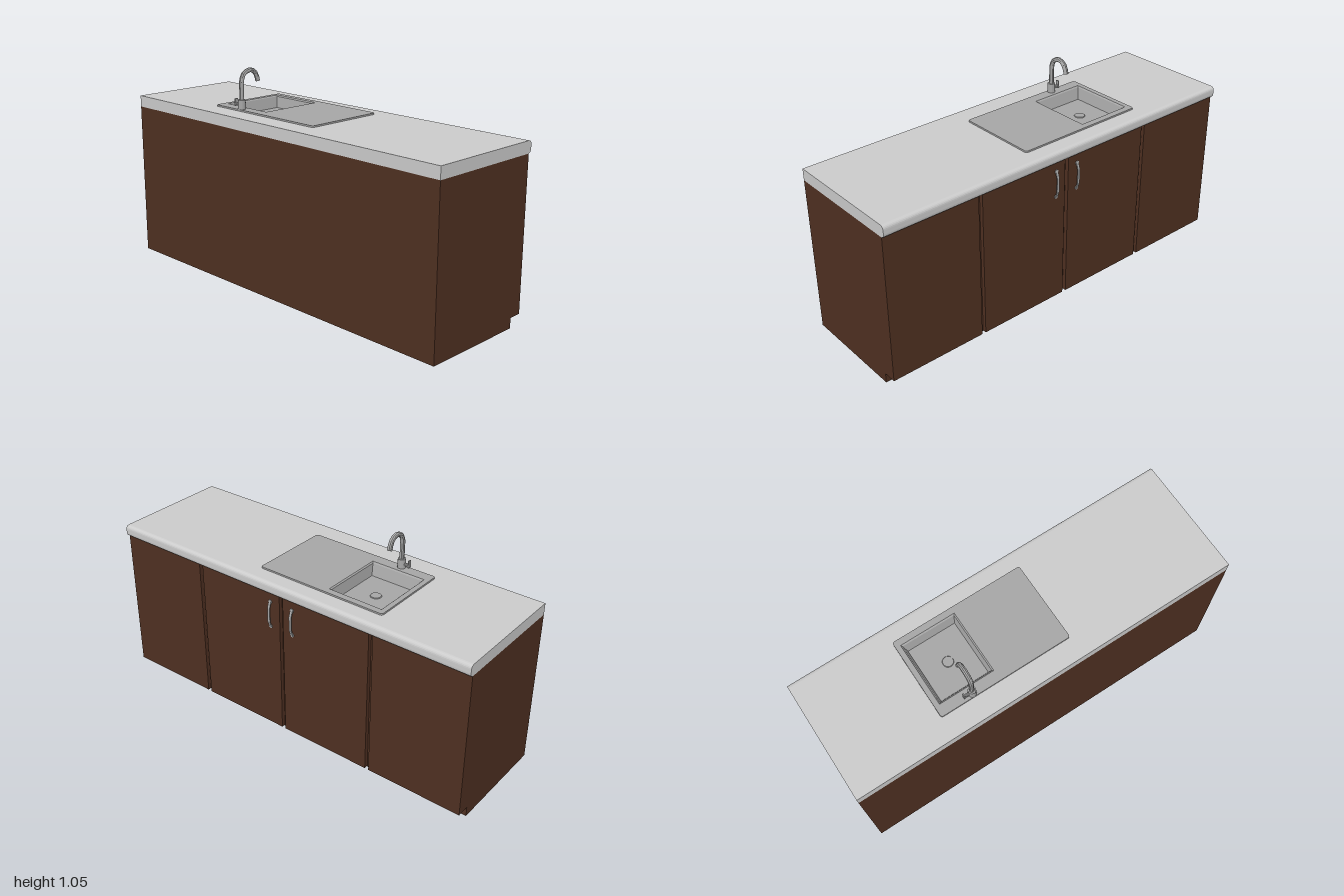
import * as THREE from 'three';

const wood = new THREE.MeshStandardMaterial({ color: 0x4f3021 });
const stone = new THREE.MeshStandardMaterial({ color: 0xcccccc });
const steel = new THREE.MeshStandardMaterial({ color: 0xa6a6a6, side: THREE.DoubleSide, flatShading: true });

function add(parent, name, geometry, material, x = 0, y = 0, z = 0) {
  const mesh = new THREE.Mesh(geometry, material);
  mesh.name = name;
  mesh.position.set(x, y, z);
  parent.add(mesh);
  return mesh;
}

function polygon(points) {
  return new THREE.Shape(points.map(([x, y]) => new THREE.Vector2(x, y)));
}

// Side profile in x/y, extruded along z and centred
function extrudeZ(shape, depth) {
  return new THREE.ExtrudeGeometry(shape, { depth, bevelEnabled: false, curveSegments: 5 }).translate(0, 0, -depth / 2);
}

// Flat outline in x/z, extruded upwards from y = 0
function extrudeY(shape, depth) {
  return new THREE.ExtrudeGeometry(shape, { depth, bevelEnabled: false, curveSegments: 4 }).rotateX(-Math.PI / 2);
}

function rect(x0, x1, z0, z1) {
  return [[x0, -z1], [x1, -z1], [x1, -z0], [x0, -z0]];
}

function roundedRect(x0, x1, z0, z1, r) {
  const s = new THREE.Shape();
  s.absarc(x1 - r, -z0 - r, r, 0, Math.PI / 2);
  s.absarc(x0 + r, -z0 - r, r, Math.PI / 2, Math.PI);
  s.absarc(x0 + r, -z1 + r, r, Math.PI, Math.PI * 1.5);
  s.absarc(x1 - r, -z1 + r, r, Math.PI * 1.5, Math.PI * 2);
  return s;
}

// Four-sided bowl from rectangular sections [x0, x1, z0, z1, y], closed by the last one
function bowl(sections) {
  const pos = [], index = [];
  sections.forEach(([x0, x1, z0, z1, y]) => pos.push(x0, y, z0, x1, y, z0, x1, y, z1, x0, y, z1));
  for (let s = 0; s < sections.length - 1; s++) {
    for (let i = 0; i < 4; i++) {
      const a = s * 4 + i, b = s * 4 + (i + 1) % 4;
      index.push(a, a + 4, b, b, a + 4, b + 4);
    }
  }
  const e = (sections.length - 1) * 4;
  index.push(e, e + 2, e + 1, e, e + 3, e + 2);
  const g = new THREE.BufferGeometry();
  g.setAttribute('position', new THREE.Float32BufferAttribute(pos, 3));
  g.setIndex(index);
  const flat = g.toNonIndexed();
  flat.computeVertexNormals();
  return flat;
}

export function createModel() {
  const model = new THREE.Group();
  model.name = 'kitchenSinkUnit';

  // Carcass with toe kick
  add(model, 'cabinetBody', extrudeZ(polygon([
    [-0.31, 0], [0.225, 0], [0.225, 0.05], [0.27, 0.05], [0.27, 0.79], [-0.31, 0.79],
  ]), 2), wood);

  // Four doors separated by narrow grooves
  const gap = 0.02;
  for (let i = 0; i < 4; i++) {
    const z0 = -1 + i * 0.5 + (i > 0 ? gap / 2 : 0);
    const z1 = -0.5 + i * 0.5 - (i < 3 ? gap / 2 : 0);
    add(model, 'door', new THREE.BoxGeometry(0.02, 0.74, z1 - z0), wood, 0.28, 0.42, (z0 + z1) / 2);
  }

  // Bowed strip handles on the two middle doors
  const strip = polygon([
    [0.289, 0.75], [0.293, 0.75], [0.305, 0.712], [0.305, 0.642], [0.293, 0.605],
    [0.289, 0.605], [0.301, 0.643], [0.301, 0.711],
  ]);
  for (const side of [-1, 1]) {
    const handle = new THREE.Group();
    handle.name = 'handle';
    handle.position.z = side * 0.064;
    add(handle, 'handleBar', extrudeZ(strip, 0.013), steel);
    for (const y of [0.612, 0.743]) {
      add(handle, 'handleFoot', new THREE.CylinderGeometry(0.01, 0.01, 0.004, 12).rotateZ(Math.PI / 2), steel, 0.291, y);
    }
    model.add(handle);
  }

  // Worktop slab with the sink cut-out
  const slab = polygon(rect(-0.31, 0.27, -1, 1));
  slab.holes.push(polygon(rect(-0.145, 0.185, -0.48, -0.195)));
  add(model, 'worktop', extrudeY(slab, 0.058), stone, 0, 0.79);

  // Rounded front edge of the worktop
  const nose = new THREE.Shape();
  nose.moveTo(0.27, 0.79);
  nose.lineTo(0.288, 0.79);
  nose.quadraticCurveTo(0.306, 0.792, 0.306, 0.81);
  nose.lineTo(0.306, 0.828);
  nose.quadraticCurveTo(0.306, 0.846, 0.288, 0.848);
  nose.lineTo(0.27, 0.848);
  add(model, 'worktopNose', extrudeZ(nose, 2), stone);

  // Sink: drainboard plate, sloped basin and drain
  const sink = new THREE.Group();
  sink.name = 'sink';
  const plate = roundedRect(-0.2, 0.217, -0.505, 0.18, 0.012);
  plate.holes.push(polygon(rect(-0.145, 0.185, -0.48, -0.195)));
  add(sink, 'drainboard', extrudeY(plate, 0.008), steel, 0, 0.848);
  add(sink, 'basin', bowl([
    [-0.145, 0.185, -0.48, -0.195, 0.856],
    [-0.138, 0.178, -0.474, -0.201, 0.85],
    [-0.12, 0.165, -0.46, -0.21, 0.795],
  ]), steel);
  add(sink, 'drain', new THREE.CylinderGeometry(0.025, 0.027, 0.004, 16), steel, 0.022, 0.797, -0.335);
  model.add(sink);

  // Swan-neck tap with a side lever
  const tap = new THREE.Group();
  tap.name = 'tap';
  tap.position.set(-0.181, 0, -0.332);
  add(tap, 'tapBase', new THREE.CylinderGeometry(0.019, 0.02, 0.046, 12), steel, 0, 0.879);
  add(tap, 'tapStem', new THREE.CylinderGeometry(0.0115, 0.0115, 0.09, 10), steel, 0, 0.945);
  const path = new THREE.CatmullRomCurve3([
    [0, 0.985], [0.009, 1.019], [0.032, 1.037], [0.06, 1.042], [0.084, 1.03], [0.097, 1.008], [0.104, 0.984],
  ].map(([x, y]) => new THREE.Vector3(x, y, 0)));
  add(tap, 'tapSpout', new THREE.TubeGeometry(path, 8, 0.012, 10), steel);
  const tip = add(tap, 'spoutTip', new THREE.CircleGeometry(0.012, 10).rotateX(Math.PI / 2), steel, 0.104, 0.984);
  tip.rotation.z = 0.28;
  add(tap, 'leverAxle', new THREE.CylinderGeometry(0.008, 0.008, 0.028, 10).rotateX(Math.PI / 2), steel, 0, 0.876, -0.028);
  add(tap, 'lever', new THREE.BoxGeometry(0.016, 0.036, 0.006), steel, 0, 0.885, -0.042);
  model.add(tap);

  return model;
}
